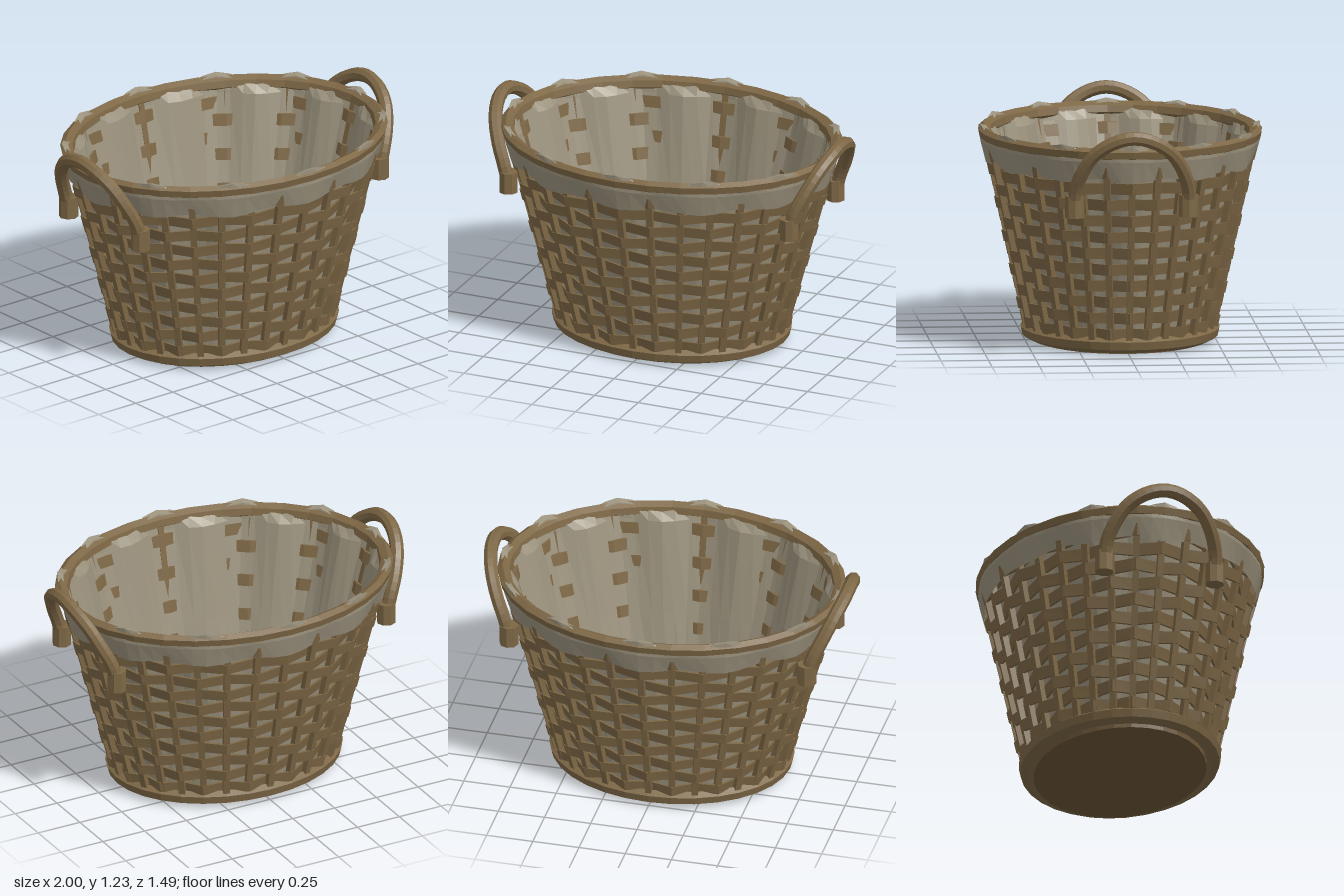
import * as THREE from 'three';

const STAKES = 32;
const wicker = new THREE.MeshStandardMaterial({ color: 0x7d6745, flatShading: true });
wicker.name = 'wicker';
const cloth = new THREE.MeshStandardMaterial({ color: 0x9c937e, flatShading: true, side: THREE.DoubleSide });
cloth.name = 'linen';
const baseWood = new THREE.MeshStandardMaterial({ color: 0x6c5639, flatShading: true });
baseWood.name = 'base wood';

// Point on the flared oval wall, moved outwards by off
function wall(theta, y, off = 0) {
  return new THREE.Vector3(
    (0.6 + 0.265 * y + off) * Math.sin(theta), y,
    (0.475 + 0.215 * y + off) * Math.cos(theta));
}

// Sweep a profile of [off, y] pairs around the oval
function sweep(segments, profile, closed) {
  const pos = [], index = [];
  let n = 0;
  for (let i = 0; i <= segments; i++) {
    const theta = (i / segments) * Math.PI * 2;
    const pts = profile(theta, i);
    n = pts.length;
    for (const [off, y] of pts) pos.push(...wall(theta, y, off).toArray());
  }
  for (let i = 0; i < segments; i++) {
    for (let j = 0; j < (closed ? n : n - 1); j++) {
      const k = (j + 1) % n;
      const a = i * n + j, b = a + n, c = i * n + k, d = c + n;
      index.push(a, b, c, b, d, c);
    }
  }
  const geo = new THREE.BufferGeometry();
  geo.setAttribute('position', new THREE.Float32BufferAttribute(pos, 3));
  geo.setIndex(index);
  geo.computeVertexNormals();
  return geo;
}

// Six-sided hoop round the wall
function hoop(y, off, r) {
  return sweep(STAKES, () => Array.from({ length: 6 }, (_, k) => {
    const a = (k + 0.5) * Math.PI / 3;
    return [off + r * Math.cos(a), y + r * Math.sin(a)];
  }), true);
}

export function createModel() {
  const model = new THREE.Group();
  model.name = 'basket';
  const add = (name, geo, mat, parent = model) => {
    const mesh = new THREE.Mesh(geo, mat);
    mesh.name = name;
    parent.add(mesh);
    return mesh;
  };

  // Base plate and hoops
  const base = add('basePlate', new THREE.CylinderGeometry(1, 1, 0.03, 32), baseWood);
  base.scale.set(0.57, 1, 0.445);
  base.position.y = 0.015;
  add('bottomHoop', hoop(0.05, -0.004, 0.042), wicker);
  add('rim', hoop(1.098, -0.001, 0.037), wicker);

  // Upright stakes
  const stakes = new THREE.Group();
  stakes.name = 'stakes';
  model.add(stakes);
  for (let i = 0; i < STAKES; i++) {
    const theta = (i / STAKES) * Math.PI * 2;
    const low = wall(theta, 0.04), high = wall(theta, 1.09);
    const up = high.clone().sub(low);
    const length = up.length();
    up.normalize();
    const side = wall(theta + 0.01, 0.5).sub(wall(theta - 0.01, 0.5)).normalize();
    const out = side.clone().cross(up).normalize();
    side.crossVectors(up, out);
    const stake = add('stake', new THREE.BoxGeometry(0.034, length, 0.032), wicker, stakes);
    stake.quaternion.setFromRotationMatrix(new THREE.Matrix4().makeBasis(side, up, out));
    stake.position.copy(low).add(high).multiplyScalar(0.5);
  }

  // Woven bands passing alternately outside and inside the stakes
  const weave = new THREE.Group();
  weave.name = 'weave';
  model.add(weave);
  for (let row = 0; row < 11; row++) {
    const y = 0.11 + row * 0.089;
    const geo = sweep(STAKES, (theta, i) => {
      const off = (i + row) % 2 ? 0.017 : -0.025;
      return [[off + 0.007, y - 0.03], [off + 0.007, y + 0.03],
        [off - 0.007, y + 0.03], [off - 0.007, y - 0.03]];
    }, true);
    add('wovenBand', geo, wicker, weave);
  }

  // Cloth lining with a scalloped fold over the rim
  add('lining', sweep(72, (theta) => {
    const wave = Math.cos(12 * theta);
    const inner = (y) => [-0.035 + 0.027 * wave * y, y];
    return [
      [0.02 + 0.008 * wave, 0.955 - 0.012 * wave],
      [0.028 + 0.004 * wave, 1.06],
      [0.024, 1.09 + 0.01 * wave],
      [0.004 + 0.012 * wave, 1.122 + 0.026 * wave],
      [-0.026 + 0.012 * wave, 1.115 + 0.024 * wave],
      inner(1.05), inner(0.55), inner(0.05),
    ];
  }, false), cloth);
  const floor = add('liningFloor', new THREE.CircleGeometry(1, 36), cloth);
  floor.rotation.x = -Math.PI / 2;
  floor.scale.set(0.58, 0.452, 1);
  floor.position.y = 0.05;

  // Arched side handles with socket ends
  const half = [[0.81, 0.82, 0.3], [0.835, 0.91, 0.297], [0.88, 1.01, 0.265],
    [0.925, 1.11, 0.2], [0.956, 1.175, 0.1]];
  const point = (p, s, m) => new THREE.Vector3(p[0] * s, p[1], p[2] * m);
  for (const s of [1, -1]) {
    const handle = new THREE.Group();
    handle.name = s > 0 ? 'leftHandle' : 'rightHandle';
    model.add(handle);
    const path = new THREE.CatmullRomCurve3([
      ...half.map((p) => point(p, s, 1)),
      new THREE.Vector3(0.964 * s, 1.197, 0),
      ...half.map((p) => point(p, s, -1)).reverse(),
    ]);
    add('handleArch', new THREE.TubeGeometry(path, 28, 0.037, 8), wicker, handle);
    for (const m of [1, -1]) {
      const socket = add('handleSocket', new THREE.CylinderGeometry(0.051, 0.051, 0.115, 8), wicker, handle);
      socket.position.set(0.806 * s, 0.817, 0.3 * m);
    }
  }
  return model;
}
